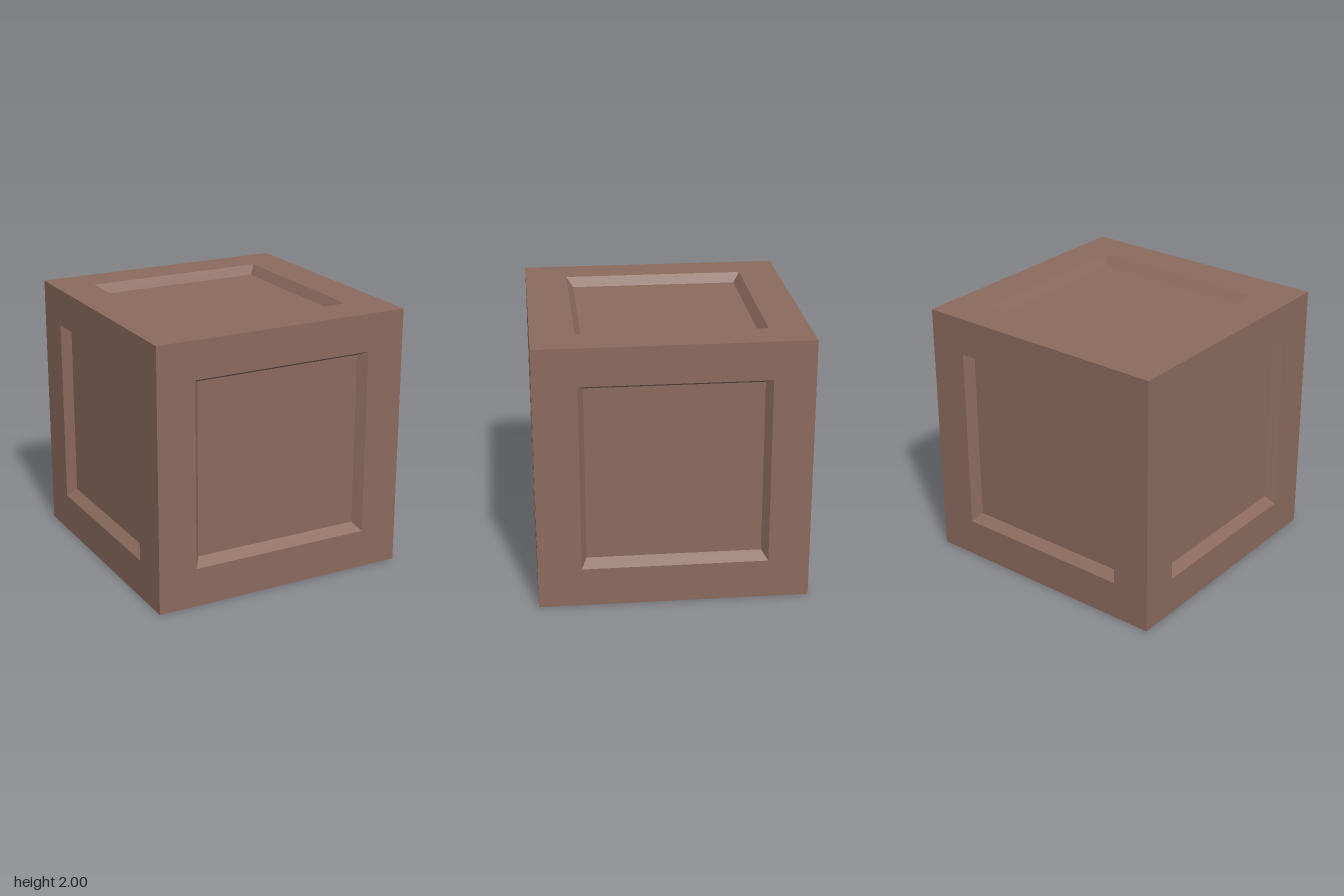
import * as THREE from 'three';

const DEPTH = 0.07; // recess depth and shell thickness

// Rectangle corners, counter-clockwise seen from +z
const rect = (x0, x1, y0, y1, z) => [[x0, y0, z], [x1, y0, z], [x1, y1, z], [x0, y1, z]];
const square = (h) => rect(-h, h, -h, h, h);

// Flat-faced geometry joining successive four-corner rings
function loft(rings, capped = false) {
  const pos = [];
  const quad = (a, b, c, d) => pos.push(...a, ...b, ...c, ...a, ...c, ...d);
  for (let r = 0; r + 1 < rings.length; r++) {
    const a = rings[r], b = rings[r + 1];
    for (let i = 0; i < 4; i++) {
      const j = (i + 1) % 4;
      quad(a[i], a[j], b[j], b[i]);
    }
  }
  if (capped) quad(...rings[rings.length - 1]);
  const geo = new THREE.BufferGeometry();
  geo.setAttribute('position', new THREE.Float32BufferAttribute(pos, 3));
  geo.computeVertexNormals();
  return geo;
}

// Four triangles tapering from a ring to the middle of the crate
function spike(ring) {
  const pos = [];
  for (let i = 0; i < 4; i++) pos.push(...ring[(i + 1) % 4], ...ring[i], 0, 0, 0);
  const geo = new THREE.BufferGeometry();
  geo.setAttribute('position', new THREE.Float32BufferAttribute(pos, 3));
  geo.computeVertexNormals();
  return geo;
}

export function createModel() {
  const model = new THREE.Group();
  model.name = 'crate';
  const brown = new THREE.MeshStandardMaterial({ color: 0x8b6a5d, side: THREE.DoubleSide });
  brown.name = 'brown';

  // One side: framed recessed panel, inner lining and inward taper
  function addSide(name, rotX, rotY, outer, inner) {
    const side = new THREE.Group();
    side.name = name;
    const floor = rect(...inner, 1 - DEPTH);
    const add = (part, geo) => {
      const mesh = new THREE.Mesh(geo, brown);
      mesh.name = part;
      side.add(mesh);
    };
    add('frameAndPanel', loft([square(1), rect(...outer, 1), floor], true));
    add('lining', loft([floor, square(1 - DEPTH)]));
    add('innerTaper', spike(floor));
    side.rotation.set(rotX, rotY, 0);
    side.position.y = 1;
    model.add(side);
  }

  // Recess rim and floor extents: u min, u max, v min, v max; the base is open
  const q = Math.PI / 2;
  const wideRim = [-0.705, 0.705, -0.705, 0.715], wideFloor = [-0.655, 0.655, -0.645, 0.68];
  addSide('frontSide', 0, 0, wideRim, wideFloor);
  addSide('backSide', 0, 2 * q, wideRim, wideFloor);
  addSide('rightSide', 0, q, [-0.68, 0.695, -0.705, 0.715], [-0.64, 0.65, -0.645, 0.68]);
  addSide('leftSide', 0, -q, [-0.695, 0.68, -0.705, 0.715], [-0.65, 0.64, -0.645, 0.68]);
  addSide('topSide', -q, 0, [-0.705, 0.705, -0.68, 0.7], [-0.655, 0.655, -0.63, 0.65]);
  return model;
}
